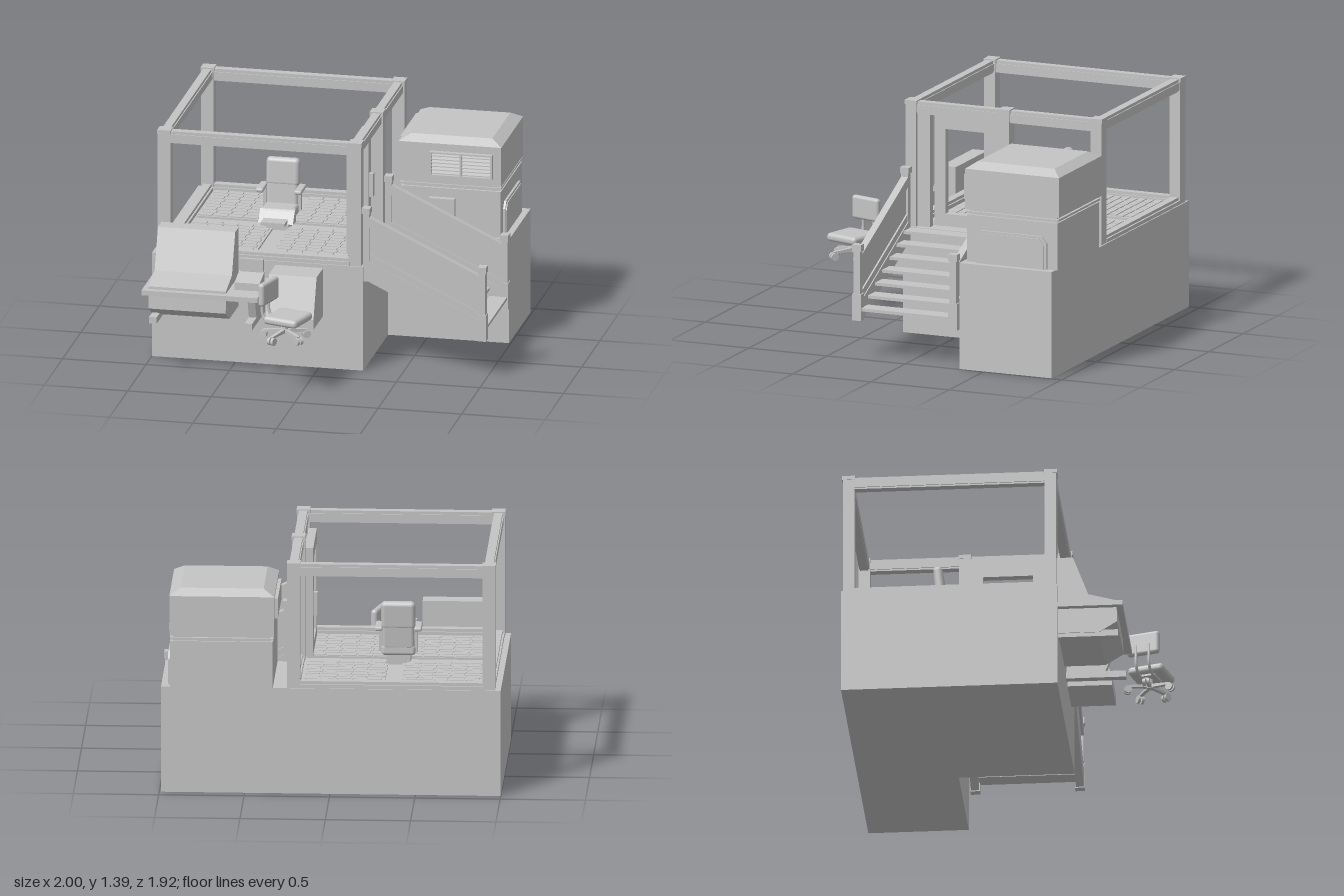
import * as THREE from 'three';
import { mergeGeometries } from 'three/addons/utils/BufferGeometryUtils.js';
import { RoundedBoxGeometry } from 'three/addons/geometries/RoundedBoxGeometry.js';

const grey = new THREE.MeshStandardMaterial({ color: 0xc4c4c4 });
grey.name = 'light grey';

function add(parent, name, geo) {
  const m = new THREE.Mesh(geo, grey);
  m.name = name;
  parent.add(m);
  return m;
}
function group(parent, name) {
  const g = new THREE.Group();
  g.name = name;
  parent.add(g);
  return g;
}
// Box from its limits
function boxGeo(x0, x1, y0, y1, z0, z1) {
  return new THREE.BoxGeometry(x1 - x0, y1 - y0, z1 - z0)
    .translate((x0 + x1) / 2, (y0 + y1) / 2, (z0 + z1) / 2);
}
const box = (p, name, ...l) => add(p, name, boxGeo(...l));
// Soft box from centre and size
const soft = (p, name, x, y, z, w, h, d, r) =>
  add(p, name, new RoundedBoxGeometry(w, h, d, 3, r).translate(x, y, z));
// Prism along z from [x, y] points, or along x from [z, y] points
function prismZ(p, name, pts, z0, z1) {
  const s = new THREE.Shape(pts.map(([x, y]) => new THREE.Vector2(x, y)));
  return add(p, name, new THREE.ExtrudeGeometry(s, { depth: z1 - z0, bevelEnabled: false }).translate(0, 0, z0));
}
function prismX(p, name, pts, x0, x1) {
  const s = new THREE.Shape(pts.map(([z, y]) => new THREE.Vector2(-z, y)));
  return add(p, name, new THREE.ExtrudeGeometry(s, { depth: x1 - x0, bevelEnabled: false })
    .rotateY(Math.PI / 2).translate(x0, 0, 0));
}

function buildFloor(root) {
  const g = group(root, 'floor');
  const tiles = [];
  for (const x0 of [-0.885, -0.315]) for (const z0 of [-0.83, -0.26]) {
    box(g, 'floorPanel', x0, x0 + 0.485, 0.638, 0.65, z0, z0 + 0.48);
    // staggered grip bars
    for (let r = 0; r < 9; r++) for (let c = 0; c < 5; c++) {
      const x = x0 + 0.008 + c * 0.092 + (r % 2) * 0.012, z = z0 + 0.008 + r * 0.052;
      tiles.push(boxGeo(x, x + 0.083, 0.648, 0.656, z, z + 0.044));
    }
  }
  add(g, 'gripBars', mergeGeometries(tiles));
}

function buildFrame(root) {
  const g = group(root, 'cabFrame');
  for (const [x, z] of [[-0.93, 0.295], [-0.93, -0.89], [0.213, 0.295], [0.213, -0.89], [0.213, -0.3]]) {
    box(g, 'post', x - 0.038, x + 0.038, 0.638, 1.375, z - 0.034, z + 0.034);
    box(g, 'postCap', x - 0.04, x + 0.04, 1.37, 1.395, z - 0.038, z + 0.038);
  }
  // each side: stepped top rail and a low sill
  for (const [y0, y1, w] of [[1.315, 1.388, 0.024], [1.325, 1.37, 0.03], [0.638, 0.678, 0.024], [0.638, 0.66, 0.035]]) {
    const name = y0 > 1 ? 'topRail' : 'sill';
    for (const z of [0.295, -0.89]) box(g, name, -0.9, 0.18, y0, y1, z - w, z + w);
    box(g, name, -0.93 - w, -0.93 + w, y0, y1, -0.86, 0.265);
    box(g, name, 0.213 - w, 0.213 + w, y0, y1, -0.86, -0.33);
    if (y0 > 1) box(g, name, 0.213 - w, 0.213 + w, y0, y1, -0.27, 0.265);
  }
  box(g, 'doorSidePlate', 0.19, 0.23, 0.638, 1.33, 0.18, 0.27);
  // open door leaf
  const d = group(g, 'door');
  box(d, 'doorStile', 0.13, 0.18, 0.65, 1.305, 0.105, 0.175);
  box(d, 'doorStile', 0.13, 0.18, 0.65, 1.305, -0.262, -0.19);
  box(d, 'doorTop', 0.13, 0.18, 1.225, 1.305, -0.19, 0.105);
  box(d, 'doorBottom', 0.13, 0.18, 0.65, 0.715, -0.19, 0.105);
  for (const x of [0.105, 0.18]) box(d, 'doorHandle', x, x + 0.025, 0.89, 1.03, -0.24, -0.205);
}

function buildMachine(root) {
  const g = group(root, 'machineHousing');
  box(g, 'lowerCabinet', 0.335, 0.935, 0.638, 0.92, -0.945, -0.365);
  box(g, 'neck', 0.35, 0.92, 0.92, 0.955, -0.935, -0.38);
  box(g, 'lip', 0.33, 0.935, 0.93, 0.942, -0.95, -0.37);
  // hood body with a tapered top
  box(g, 'hood', 0.325, 0.94, 0.955, 1.195, -0.957, -0.357);
  const cap = boxGeo(0.325, 0.94, 1.195, 1.232, -0.957, -0.357), p = cap.attributes.position;
  for (let i = 0; i < p.count; i++) if (p.getY(i) > 1.22) {
    p.setX(i, p.getX(i) < 0.6 ? 0.39 : 0.875);
    p.setZ(i, p.getZ(i) < -0.6 ? -0.9 : -0.41);
  }
  cap.computeVertexNormals();
  add(g, 'hoodTop', cap);
  box(g, 'sideVent', 0.305, 0.33, 1.06, 1.18, -0.93, -0.49);
  // louvred grille
  const x0 = 0.515, x1 = 0.89;
  for (const x of [x0, 0.697, x1 - 0.012]) box(g, 'grilleUpright', x, x + 0.012, 1.0, 1.15, -0.36, -0.328);
  for (const y of [1.0, 1.14]) box(g, 'grilleEdge', x0, x1, y, y + 0.01, -0.36, -0.328);
  for (let i = 0; i < 6; i++) {
    const y = 1.015 + i * 0.0215;
    prismX(g, 'louvre', [[-0.358, y + 0.016], [-0.358, y + 0.01], [-0.333, y], [-0.333, y + 0.006]], x0, x1);
  }
  box(g, 'accessBox', 0.51, 0.665, 0.638, 0.865, -0.366, -0.33);
  // arched side cover
  const arch = (a, b, y) => [[-a, 0.638], [-a, y - 0.04], [-a - 0.03, y], [-b + 0.03, y], [-b, y - 0.04], [-b, 0.638]];
  prismX(g, 'sideCover', arch(0.43, 0.88, 0.835), 0.934, 0.948);
  prismX(g, 'sideCoverInner', arch(0.445, 0.865, 0.82), 0.948, 0.953);
}

function buildStairs(root) {
  const g = group(root, 'stairs');
  const slope = 0.325;
  const sloped = (name, top, bottom, z0, z1) => prismZ(g, name,
    [[0.285, bottom], [0.965, bottom - slope], [0.965, top - slope], [0.285, top]], z0, z1);
  for (const z of [0.312, -0.302]) {
    box(g, 'upperPost', 0.262, 0.3, 0.55, 0.985, z - 0.022, z + 0.022);
    box(g, 'upperPostCap', 0.257, 0.305, 0.965, 1.0, z - 0.028, z + 0.028);
    box(g, 'lowerPost', 0.958, 0.995, 0.235, 0.67, z - 0.022, z + 0.022);
    box(g, 'lowerPostCap', 0.952, 1.0, 0.645, 0.685, z - 0.028, z + 0.028);
    box(g, 'lowerPostFoot', 0.952, 1.0, 0.23, 0.39, z - 0.028, z + 0.028);
    sloped('handrail', 0.95, 0.89, z - 0.022, z + 0.022);
    sloped('railPanel', 0.92, 0.68, z - 0.008, z + 0.008);
    sloped('lowerRail', 0.725, 0.665, z - 0.018, z + 0.018);
    sloped('stringer', 0.68, 0.555, z - 0.024, z + 0.024);
  }
  for (let i = 0; i < 7; i++) {
    const x = 0.262 + i * 0.104, y = 0.635 - i * 0.055;
    box(g, 'tread', x, x + 0.106, y - 0.018, y, -0.285, 0.295);
  }
}

function buildConsole(root) {
  const g = group(root, 'frontConsole');
  prismX(g, 'consoleBody', [[0.33, 0.83], [0.425, 0.83], [0.515, 0.59], [0.68, 0.545], [0.685, 0.41],
    [0.58, 0.345], [0.33, 0.345]], -0.945, -0.482);
  box(g, 'tableTop', -0.98, -0.285, 0.5, 0.53, 0.33, 0.718);
  for (const x of [-0.94, -0.368]) box(g, 'foot', x, x + 0.045, 0.32, 0.36, 0.33, 0.69);
  prismX(g, 'tableLeg', [[0.34, 0.5], [0.62, 0.5], [0.57, 0.36], [0.34, 0.36]], -0.368, -0.323);
  box(g, 'tableApron', -0.49, -0.32, 0.4, 0.5, 0.33, 0.37);
  // low keypad with an upright plate at its back
  prismX(g, 'keypad', [[0.455, 0.53], [0.455, 0.61], [0.59, 0.575], [0.59, 0.53]], -0.45, -0.3);
  box(g, 'keypadPlate', -0.445, -0.305, 0.53, 0.685, 0.45, 0.47);
  prismX(g, 'sideCabinet', [[0.33, 0.615], [0.515, 0.615], [0.6, 0.38], [0.6, 0.32], [0.33, 0.32]], -0.26, 0.025);
}

function buildOperatorSeat(root) {
  const g = group(root, 'operatorSeat');
  g.position.set(-0.375, 0.64, -0.3);
  box(g, 'pedestal', -0.07, 0.07, 0, 0.06, -0.09, 0.08);
  soft(g, 'seatCushion', 0, 0.09, -0.02, 0.2, 0.065, 0.17, 0.02);
  prismX(g, 'seatFront', [[0.03, 0.122], [0.055, 0.12], [0.115, 0.05], [0.03, 0.04]], -0.104, 0.104);
  box(g, 'footPlate', -0.075, 0.07, 0.055, 0.075, 0.08, 0.18);
  const back = group(g, 'backrest');
  back.position.set(0, 0.1, -0.08);
  back.rotation.x = -0.1;
  soft(back, 'backLower', 0, 0.08, 0, 0.19, 0.17, 0.05, 0.022);
  soft(back, 'backUpper', 0, 0.205, 0, 0.2, 0.17, 0.055, 0.025);
  for (const s of [-1, 1]) {
    soft(g, 'armrest', s * 0.115, 0.22, -0.04, 0.045, 0.025, 0.15, 0.01);
    box(g, 'armSupport', s * 0.105 - 0.008, s * 0.105 + 0.008, 0.08, 0.21, -0.09, -0.065);
  }
}

function buildOfficeChair(root) {
  const g = group(root, 'swivelChair');
  g.position.set(-0.1, 0.32, 0.81);
  g.rotation.y = -0.28;
  soft(g, 'chairSeat', 0.02, 0.135, 0, 0.22, 0.05, 0.22, 0.022);
  soft(g, 'chairBack', -0.11, 0.28, 0, 0.04, 0.14, 0.2, 0.018);
  for (const z of [-0.04, 0.04]) {
    const c = new THREE.CatmullRomCurve3([[0, 0.11], [-0.09, 0.105], [-0.125, 0.14], [-0.125, 0.27]]
      .map(([x, y]) => new THREE.Vector3(x, y, z)));
    add(g, 'backBracket', new THREE.TubeGeometry(c, 14, 0.009, 8));
  }
  add(g, 'column', new THREE.CylinderGeometry(0.016, 0.02, 0.08, 16).translate(0, 0.08, 0));
  box(g, 'seatPlate', -0.06, 0.06, 0.098, 0.115, -0.05, 0.05);
  // five-star base with twin-wheel castors
  for (let i = 0; i < 5; i++) {
    const leg = group(g, 'baseLeg');
    leg.rotation.y = i * Math.PI * 0.4 - 0.44;
    prismZ(leg, 'spoke', [[0, 0.045], [0.135, 0.04], [0.135, 0.052], [0, 0.068]], -0.011, 0.011);
    for (const z of [-0.012, 0.012]) add(leg, 'castorWheel',
      new THREE.CylinderGeometry(0.023, 0.023, 0.016, 14).rotateX(Math.PI / 2).translate(0.132, 0.023, z));
  }
}

export function createModel() {
  const root = new THREE.Group();
  root.name = 'controlCabin';
  box(root, 'mainBase', -1, 0.265, 0, 0.638, -0.932, 0.338);
  box(root, 'sideBase', 0.265, 0.99, 0, 0.638, -0.932, -0.342);
  buildFloor(root);
  buildFrame(root);
  buildMachine(root);
  buildStairs(root);
  buildConsole(root);
  buildOperatorSeat(root);
  buildOfficeChair(root);
  return root;
}
